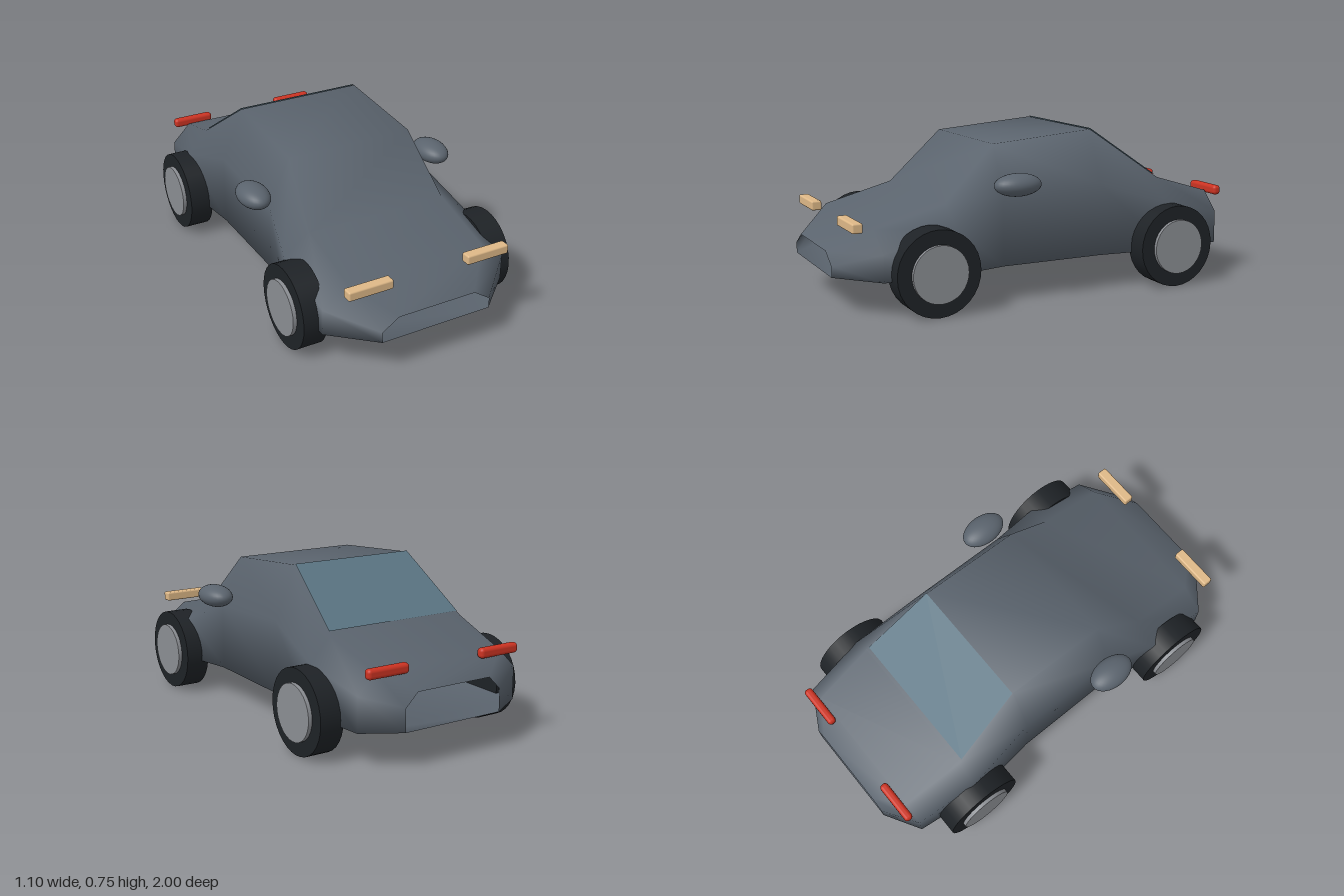
import * as THREE from 'three';
import { RoundedBoxGeometry } from 'three/addons/geometries/RoundedBoxGeometry.js';

const mat = (color, side = THREE.FrontSide) => new THREE.MeshStandardMaterial({ color, side });

// Open-ended shell lofted through six-point sections
function bodyGeometry() {
  const floor = 0.165;
  // z, half width, shoulder height, roof half width, roof height
  const sections = [
    [1.0, 0.27, 0.215, 0.19, 0.268],
    [0.83, 0.46, 0.285, 0.34, 0.375],
    [0.5, 0.47, 0.37, 0.345, 0.46],
    [0.25, 0.415, 0.48, 0.31, 0.705],
    [-0.25, 0.415, 0.5, 0.31, 0.745],
    [-0.6, 0.455, 0.39, 0.355, 0.5],
    [-0.9, 0.42, 0.32, 0.33, 0.41],
    [-1.0, 0.25, 0.27, 0.19, 0.33],
  ];
  const positions = [];
  const index = [];
  sections.forEach(([z, w, s, t, h], i) => {
    for (const [x, y] of [[-w, floor], [w, floor], [w, s], [t, h], [-t, h], [-w, s]]) {
      positions.push(x, y, z);
    }
    if (i === sections.length - 1) return;
    for (let j = 0; j < 6; j++) {
      const a = i * 6 + j;
      const b = i * 6 + ((j + 1) % 6);
      index.push(a, a + 6, b, b, a + 6, b + 6);
    }
  });
  const geometry = new THREE.BufferGeometry();
  geometry.setAttribute('position', new THREE.Float32BufferAttribute(positions, 3));
  geometry.setIndex(index);
  geometry.computeVertexNormals();
  return geometry;
}

// Four-cornered pane
function paneGeometry(corners) {
  const geometry = new THREE.BufferGeometry();
  geometry.setAttribute('position', new THREE.Float32BufferAttribute(corners.flat(), 3));
  geometry.setIndex([0, 1, 2, 0, 2, 3]);
  geometry.computeVertexNormals();
  return geometry;
}

export function createModel() {
  const model = new THREE.Group();
  model.name = 'car';
  const paint = mat(0x5a636d);
  const rubber = mat(0x1e2226);
  const metal = mat(0x8a8d92);
  const lampGlass = mat(0xdeb887);
  const tailRed = mat(0xcc3322);

  const add = (name, geometry, material, x = 0, y = 0, z = 0, parent = model) => {
    const mesh = new THREE.Mesh(geometry, material);
    mesh.name = name;
    mesh.position.set(x, y, z);
    parent.add(mesh);
    return mesh;
  };

  add('body', bodyGeometry(), mat(0x5a636d, THREE.DoubleSide));

  // Rear window lies just above the sloping tail
  add('rearWindow', paneGeometry([
    [0.31, 0.75, -0.252], [0.35, 0.517, -0.585], [-0.35, 0.517, -0.585], [-0.31, 0.75, -0.252],
  ]), mat(0x5a7482, THREE.DoubleSide));

  const tireGeometry = new THREE.CylinderGeometry(0.193, 0.193, 0.113, 32).rotateZ(Math.PI / 2);
  const hubGeometry = new THREE.CylinderGeometry(0.128, 0.128, 0.128, 32).rotateZ(Math.PI / 2);
  const mirrorGeometry = new THREE.SphereGeometry(1, 32, 20).scale(0.071, 0.051, 0.112);
  const lampGeometry = new RoundedBoxGeometry(0.214, 0.044, 0.048, 2, 0.008);
  const tailGeometry = new RoundedBoxGeometry(0.208, 0.046, 0.04, 3, 0.016);

  for (const side of [1, -1]) {
    const prefix = side > 0 ? 'left' : 'right';
    for (const [end, z] of [['Front', 0.605], ['Rear', -0.605]]) {
      const wheel = new THREE.Group();
      wheel.name = `${prefix}${end}Wheel`;
      wheel.position.set(side * 0.474, 0.195, z);
      add('tire', tireGeometry, rubber, 0, 0, 0, wheel);
      add('hub', hubGeometry, metal, side * 0.01, 0, 0, wheel);
      model.add(wheel);
    }
    add(`${prefix}Mirror`, mirrorGeometry, paint, side * 0.474, 0.541, 0.208);
    add(`${prefix}Headlight`, lampGeometry, lampGlass, side * 0.293, 0.396, 0.921);
    add(`${prefix}TailLight`, tailGeometry, tailRed, side * 0.295, 0.417, -0.928);
  }
  return model;
}
